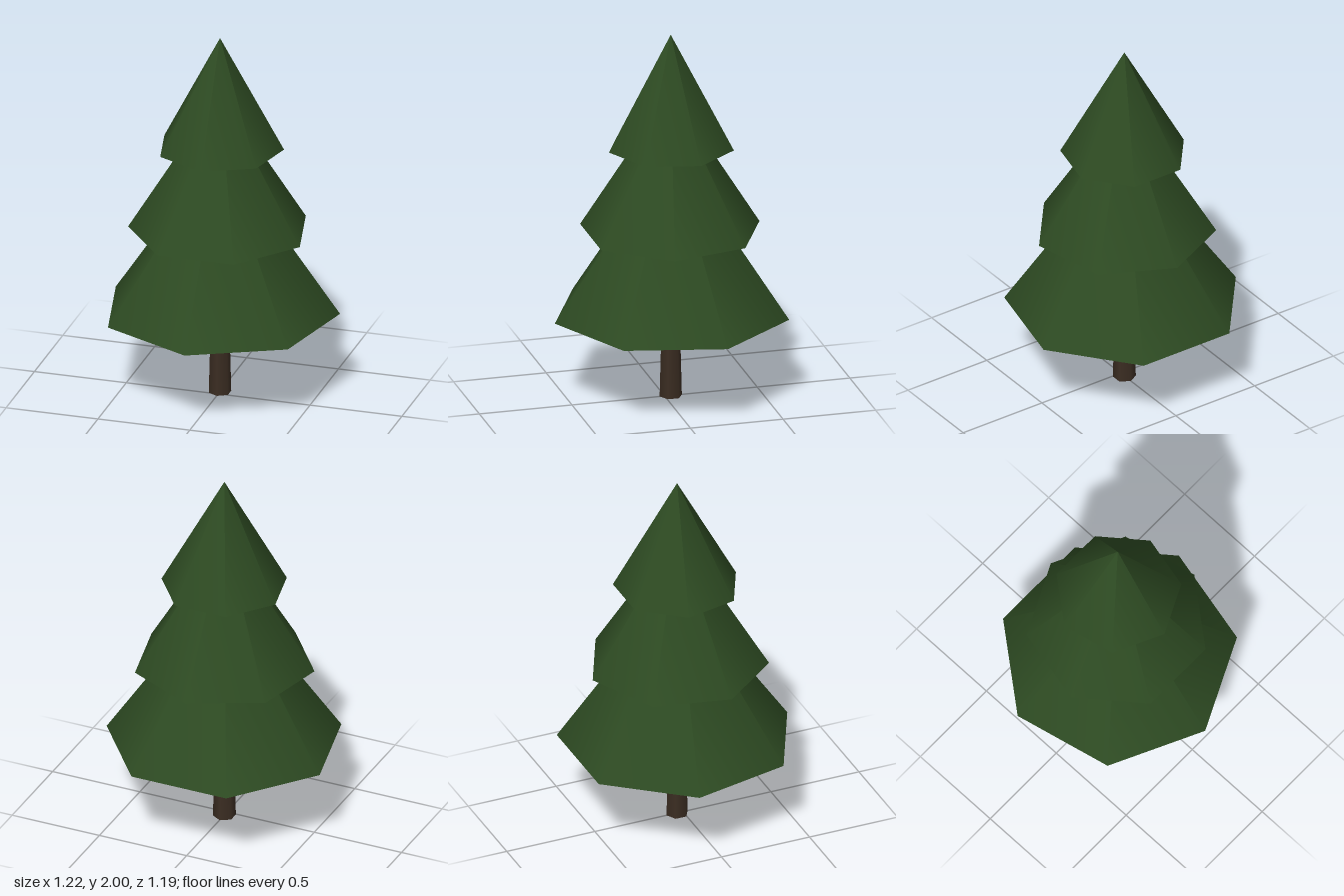
import * as THREE from 'three';

export function createModel() {
  const tree = new THREE.Group();
  tree.name = 'pineTree';

  const needles = new THREE.MeshStandardMaterial({ color: 0x2d4a22 });
  needles.name = 'needleGreen';
  const bark = new THREE.MeshStandardMaterial({ color: 0x3b2d22 });
  bark.name = 'barkBrown';

  const axisZ = -0.033; // the trunk line sits slightly behind the middle

  // Tapered six-sided trunk, its top hidden inside the lowest tier
  const trunk = new THREE.Mesh(new THREE.CylinderGeometry(0.047, 0.06, 0.5, 6), bark);
  trunk.name = 'trunk';
  trunk.position.set(0, 0.25, axisZ);
  tree.add(trunk);

  // Three seven-sided foliage cones, every other one turned half round
  const tiers = [
    { name: 'lowerFoliage', base: 0.46, radius: 0.626, height: 0.92 },
    { name: 'middleFoliage', base: 0.92, radius: 0.479, height: 0.77 },
    { name: 'upperFoliage', base: 1.38, radius: 0.334, height: 0.62 },
  ];
  tiers.forEach(({ name, base, radius, height }, i) => {
    const tier = new THREE.Mesh(new THREE.ConeGeometry(radius, height, 7), needles);
    tier.name = name;
    tier.position.set(0, base + height / 2, axisZ);
    tier.rotation.y = i * Math.PI;
    tree.add(tier);
  });

  return tree;
}
